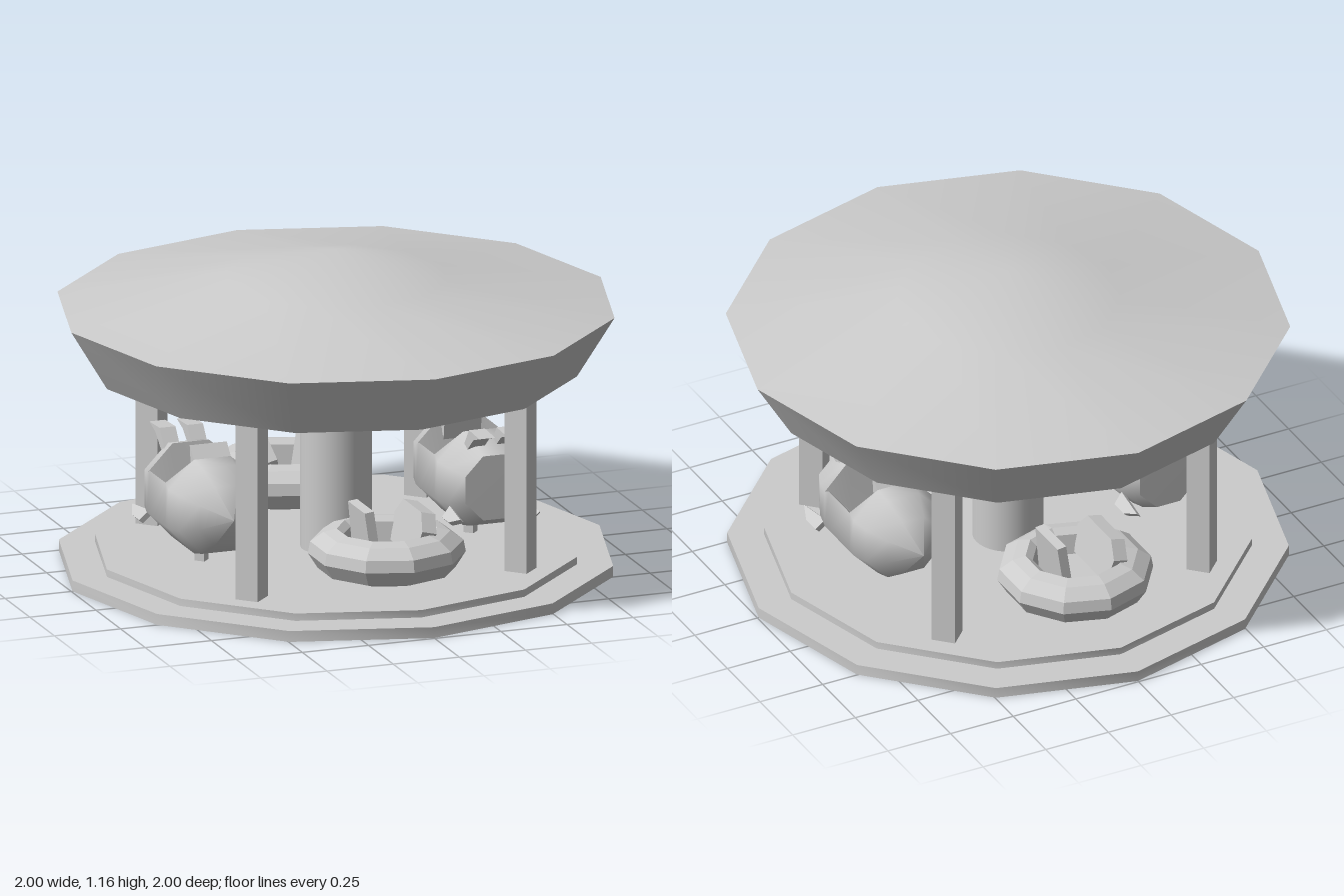
import * as THREE from 'three';
import { toCreasedNormals } from 'three/addons/utils/BufferGeometryUtils.js';

const smooth = new THREE.MeshStandardMaterial({ color: 0xcccccc, side: THREE.DoubleSide });
const faceted = new THREE.MeshStandardMaterial({ color: 0xcccccc, side: THREE.DoubleSide, flatShading: true });

function add(parent, name, geometry, material = faceted) {
  const mesh = new THREE.Mesh(geometry, material);
  mesh.name = name;
  parent.add(mesh);
  return mesh;
}

const lathe = (points, sides, start = 0) =>
  new THREE.LatheGeometry(points.map(([r, y]) => new THREE.Vector2(r, y)), sides, start);

// Points of a regular polygon with one corner on the +x axis
function polygon(radius, sides, cx = 0, cy = 0) {
  return Array.from({ length: sides }, (_, i) => {
    const a = (i / sides) * Math.PI * 2;
    return new THREE.Vector2(cx + radius * Math.cos(a), cy + radius * Math.sin(a));
  });
}

// Side outline given as [z, y], extruded to a width along x
function sideSlab(points, width) {
  const shape = new THREE.Shape(points.map(([z, y]) => new THREE.Vector2(z, y)));
  return new THREE.ExtrudeGeometry(shape, { depth: width, bevelEnabled: false })
    .rotateY(-Math.PI / 2).translate(width / 2, 0, 0);
}

const POST = 0.508, DECK = 0.067, ROOF = 0.733;
const ANIMAL_X = 0.508, TUB_Z = 0.515, ANIMAL_POLE = 0.027, TUB_POLE = 0.019;
const corners = [[1, 1], [1, -1], [-1, -1], [-1, 1]];

// Animal ride facing +z, origin at the middle of its body
function createAnimal() {
  const g = new THREE.Group();
  g.name = 'animalRide';

  // Eight-sided barrel body with flat face, pointed rear and scooped seat
  const body = lathe([[0, -0.33], [0.115, -0.25], [0.17, -0.175], [0.187, -0.11], [0.187, -0.08],
    [0.187, 0.08], [0.187, 0.11], [0.17, 0.175], [0.128, 0.255], [0, 0.256]], 8, Math.PI / 8);
  body.rotateX(Math.PI / 2);
  const p = body.attributes.position;
  for (let i = 0; i < p.count; i++) {
    p.setX(i, p.getX(i) * 0.96);
    if (Math.abs(p.getZ(i)) < 0.09 && p.getY(i) > 0) {
      p.setY(i, Math.abs(p.getX(i)) < 0.1 ? -0.03 : 0.09);
    }
  }
  add(g, 'animalBody', toCreasedNormals(body, 0.9), smooth);

  // Backrest leaning forward over the seat
  add(g, 'animalBackrest', sideSlab([[-0.125, 0.155], [-0.085, 0.09], [-0.068, 0.215]], 0.14));

  for (const s of [-1, 1]) {
    // Forward-swept ears
    const ear = add(g, 'ear', sideSlab([[0.155, 0.14], [0.19, 0.13], [0.25, 0.18], [0.31, 0.2], [0.205, 0.205]], 0.06));
    ear.position.x = s * 0.052;
    // Flat pointed front feet, splayed outward
    const foot = add(g, 'foot', sideSlab([[0.16, 0.025], [0.3, 0.008], [0.24, -0.025], [0.17, -0.025]], 0.02));
    foot.position.set(s * 0.148, -0.105, 0);
    foot.rotation.z = s * 0.75;
  }
  return g;
}

// Round tub ride with two facing seats, origin at ground level
function createTub() {
  const g = new THREE.Group();
  g.name = 'tubRide';
  add(g, 'tubShell', lathe([[0, 0.11], [0.185, 0.11], [0.245, 0.13], [0.28, 0.185], [0.272, 0.228],
    [0.225, 0.262], [0.178, 0.274], [0.152, 0.255], [0.142, 0.18], [0, 0.18]], 10));
  // Tall narrow seat and low wide seat, both leaning outward
  const tall = add(g, 'tallSeat', sideSlab([[-0.1, 0], [0.1, 0], [0.085, 0.19], [-0.085, 0.19]], 0.035));
  tall.position.set(-0.075, 0.175, 0);
  tall.rotation.z = 0.12;
  const low = add(g, 'lowSeat', sideSlab([[-0.12, 0], [0.12, 0], [0.14, 0.1], [0.09, 0.16], [-0.09, 0.16], [-0.14, 0.1]], 0.055));
  low.position.set(0.085, 0.185, 0);
  low.rotation.z = -0.24;
  return g;
}

export function createModel() {
  const model = new THREE.Group();
  model.name = 'carousel';

  // Stepped twelve-sided platform, an open shell beneath
  const steps = lathe([[0.995, 0], [0.995, 0.04], [0.865, 0.04], [0.865, DECK]], 12);
  add(model, 'platformSteps', toCreasedNormals(steps, 0.6), smooth);

  // Thin deck, open under the column, posts and poles
  const deck = new THREE.Shape(polygon(0.865, 12));
  const holes = [
    polygon(0.127, 32),
    ...corners.map(([x, z]) => polygon(0.061, 4, x * POST, z * POST)),
    ...[-1, 1].map((s) => polygon(ANIMAL_POLE, 4, s * ANIMAL_X, 0)),
    ...[-1, 1].map((s) => polygon(TUB_POLE, 4, 0, s * TUB_Z)),
  ];
  holes.forEach((h) => deck.holes.push(new THREE.Path(h)));
  add(model, 'platformDeck', new THREE.ShapeGeometry(deck).rotateX(-Math.PI / 2), smooth)
    .position.y = DECK;

  // Central column and four hollow corner posts
  const height = ROOF - DECK, middle = (ROOF + DECK) / 2;
  add(model, 'column', new THREE.CylinderGeometry(0.127, 0.127, height, 32, 1, true), smooth)
    .position.y = middle;
  for (const [x, z] of corners) {
    add(model, 'post', new THREE.CylinderGeometry(0.061, 0.061, height, 4, 1, true))
      .position.set(x * POST, middle, z * POST);
  }

  // Roof: flat ceiling, flared band and softly shaded canopy
  const roof = lathe([[0, ROOF], [0.865, ROOF], [1, 0.955], [0.4, 1.06], [0, 1.162]], 12);
  add(model, 'roof', toCreasedNormals(roof, 0.6), smooth);

  // Rides in opposite pairs, turned half a circle
  for (const turn of [0, Math.PI]) {
    const pair = new THREE.Group();
    pair.name = 'ridePair';
    pair.rotation.y = turn;
    const animal = createAnimal();
    animal.position.set(ANIMAL_X, 0.3, 0);
    const tub = createTub();
    tub.position.z = TUB_Z;
    pair.add(animal, tub);
    for (const [radius, x, z] of [[ANIMAL_POLE, ANIMAL_X, 0], [TUB_POLE, 0, TUB_Z]]) {
      add(pair, 'ridePole', new THREE.CylinderGeometry(radius, radius, 0.07, 4, 1, true))
        .position.set(x, DECK + 0.035, z);
    }
    model.add(pair);
  }
  return model;
}
